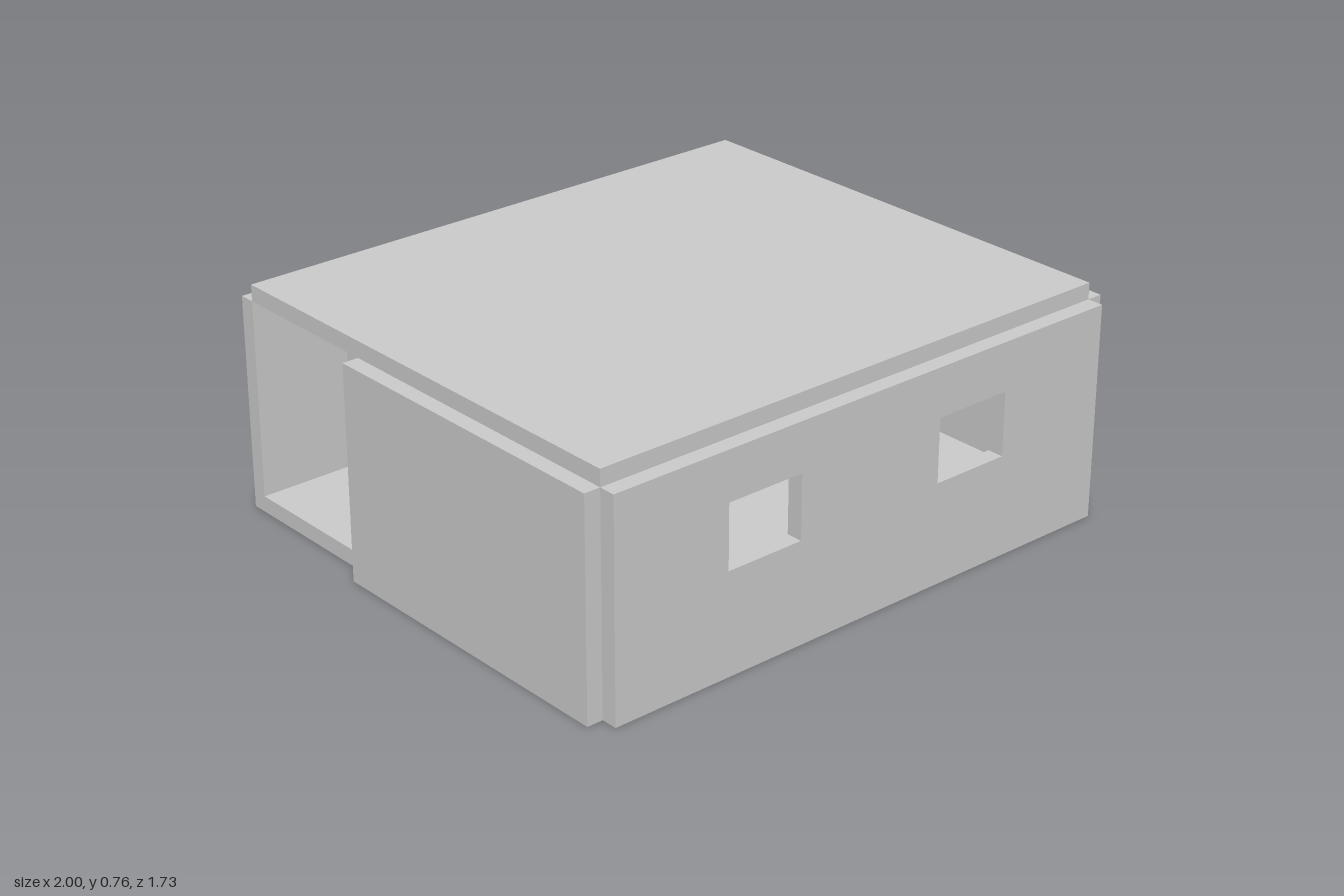
import * as THREE from 'three';

const W = 0.945;     // half width of the shell
const D = 0.81;      // half depth of floor and roof
const T = 0.054;     // thickness of walls, floor and roof
const H = 0.705;     // top of the walls
const DOOR = { x: -0.7, width: 0.27, top: 0.595, thick: 0.0216 };

export function createModel() {
  const model = new THREE.Group();
  const material = new THREE.MeshStandardMaterial({ color: 0xcccccc, flatShading: true });

  const add = (name, geometry) => {
    const mesh = new THREE.Mesh(geometry, material);
    mesh.name = name;
    model.add(mesh);
    return mesh;
  };

  // Box given by its minimum and maximum corners
  const box = (name, x0, x1, y0, y1, z0, z1) =>
    add(name, new THREE.BoxGeometry(x1 - x0, y1 - y0, z1 - z0)
      .translate((x0 + x1) / 2, (y0 + y1) / 2, (z0 + z1) / 2));

  const outline = (points) => new THREE.Shape(points.map(([x, y]) => new THREE.Vector2(x, y)));
  const rect = (x0, x1, y0, y1) => [[x0, y0], [x1, y0], [x1, y1], [x0, y1]];

  // Wall cut from a shape in the xy plane, starting at depth z
  const wall = (name, shape, z) =>
    add(name, new THREE.ExtrudeGeometry(shape, { depth: T, bevelEnabled: false }).translate(0, 0, z));

  // Slabs and back wall
  box('floor', -W, W, 0, T, -D, D);
  box('roof', -W, W, H, H + T, -D, D);
  box('backWall', -W, W, 0, H, -D - T, -D);

  // Side walls, leaving the corridor open at both ends
  box('leftWall', W, W + T, 0, H, -0.27, D);
  box('rightWall', -W - T, -W, 0, H, -0.27, D);

  // Front wall with two windows
  const front = outline(rect(-W, W, 0, H));
  for (const x of [-0.54, 0.27]) front.holes.push(outline(rect(x, x + 0.27, 0.335, 0.545)));
  wall('frontWall', front, D);

  // Inner wall between room and corridor, with a doorway
  const doorEnd = DOOR.x + DOOR.width;
  wall('innerWall', outline([
    [-W, T], [DOOR.x, T], [DOOR.x, DOOR.top], [doorEnd, DOOR.top],
    [doorEnd, T], [W, T], [W, H], [-W, H],
  ]), -0.27 - T);

  // Door leaf, hinged in the doorway and ajar into the corridor
  const height = DOOR.top - T;
  const door = add('door', new THREE.BoxGeometry(DOOR.width, height, DOOR.thick)
    .translate(DOOR.width / 2, height / 2, 0));
  door.position.set(DOOR.x, T, -0.27 - T / 2);
  door.rotation.y = Math.PI / 6;

  return model;
}
